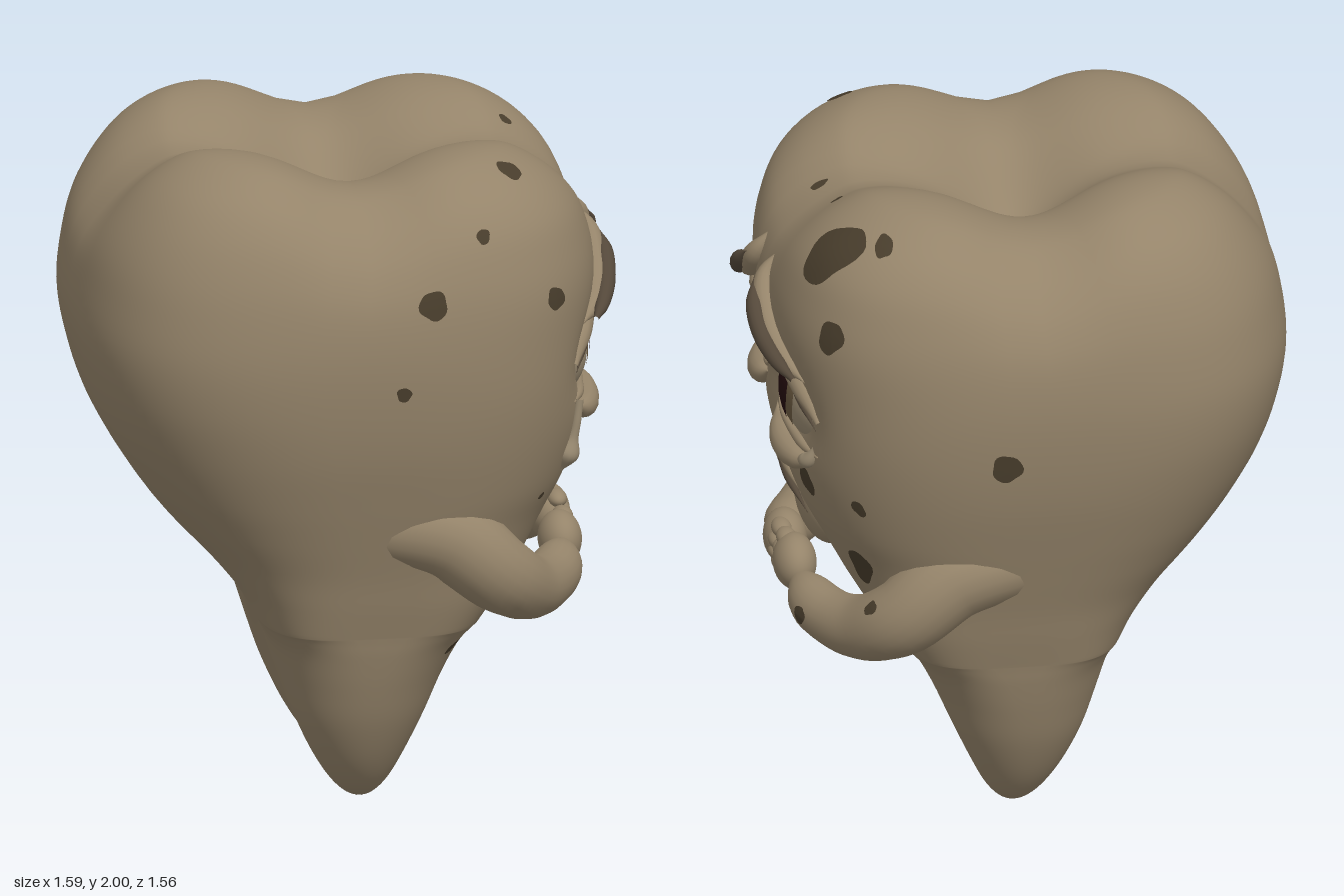
import * as THREE from 'three';
import { mergeVertices, mergeGeometries } from 'three/addons/utils/BufferGeometryUtils.js';

const mat = (name, color) => Object.assign(new THREE.MeshStandardMaterial({ color }), { name });

// Catmull-Rom sampling of a table of rows, t from 0 to 1
function sample(rows, t) {
  const f = t * (rows.length - 1), i = Math.min(Math.floor(f), rows.length - 2), u = f - i;
  const at = k => rows[Math.max(0, Math.min(rows.length - 1, k))];
  const [a, b, c, d] = [at(i - 1), at(i), at(i + 1), at(i + 2)];
  return b.map((p, k) => p + 0.5 * u * (c[k] - a[k] + u * (2 * a[k] - 5 * p + 4 * c[k] - d[k] + u * (3 * (p - c[k]) + d[k] - a[k]))));
}

// Weld a geometry and give it smooth normals
function smooth(g) {
  g.deleteAttribute('uv');
  g.deleteAttribute('normal');
  g = mergeVertices(g, 1e-4);
  g.computeVertexNormals();
  return g;
}

// Skin between closed rings of points
function loft(rings, flip) {
  const n = rings[0].length, idx = [];
  for (let j = 0; j < rings.length - 1; j++) for (let i = 0; i < n; i++) {
    const a = j * n + i, b = j * n + (i + 1) % n, c = a + n, d = b + n;
    if (flip) idx.push(a, b, c, b, d, c); else idx.push(a, c, b, b, c, d);
  }
  const g = new THREE.BufferGeometry();
  g.setAttribute('position', new THREE.Float32BufferAttribute(rings.flat(2), 3));
  g.setIndex(idx);
  return g;
}

// Tube whose radius follows a list of values along its length
function taperTube(points, radii, segs = 32, sides = 14) {
  const curve = new THREE.CatmullRomCurve3(points);
  const g = new THREE.TubeGeometry(curve, segs, 1, sides, false), p = g.attributes.position;
  const v = new THREE.Vector3();
  for (let i = 0; i < p.count; i++) {
    const t = Math.floor(i / (sides + 1)) / segs, c = curve.getPointAt(t);
    const r = Math.max(0, sample(radii.map(q => [q]), t)[0]);
    v.fromBufferAttribute(p, i).sub(c).multiplyScalar(r).add(c);
    p.setXYZ(i, v.x, v.y, v.z);
  }
  return smooth(g);
}

function ellipsoid(x, y, z, rx, ry, rz, turn = 0) {
  return new THREE.SphereGeometry(1, 32, 24).scale(rx, ry, rz).rotateY(turn).translate(x, y, z);
}

// Crown rows: y, back x, front x, half depth, squareness
const CROWN = [
  [0.57, -0.305, 0.38, 0.585, 3.8], [0.66, -0.36, 0.45, 0.61, 3.4], [0.76, -0.445, 0.52, 0.635, 3],
  [0.88, -0.555, 0.585, 0.67, 2.85], [1.0, -0.64, 0.645, 0.705, 2.9], [1.15, -0.725, 0.69, 0.745, 2.9],
  [1.3, -0.775, 0.705, 0.77, 3], [1.45, -0.8, 0.715, 0.78, 3], [1.6, -0.785, 0.725, 0.77, 3],
  [1.72, -0.755, 0.71, 0.745, 3], [1.83, -0.695, 0.67, 0.7, 3.1], [1.92, -0.62, 0.595, 0.63, 3.2],
  [1.985, -0.53, 0.5, 0.53, 3.2], [2.008, -0.45, 0.42, 0.43, 3.1], [2.008, -0.3, 0.27, 0.29, 2.6],
  [2.008, -0.15, 0.11, 0.14, 2.2], [2.008, -0.02, -0.02, 0, 2.2]];
// Root rows: y, back x, front x, inner z, middle z, outer z, squareness
const ROOT = [
  [0.57, -0.305, 0.38, 0, 0, 0.585, 3.8], [0.55, -0.294, 0.364, 0.055, 0.065, 0.581, 3.3], [0.5, -0.268, 0.322, 0.095, 0.15, 0.571, 2.75],
  [0.4, -0.23, 0.262, 0.118, 0.24, 0.545, 2.35], [0.28, -0.185, 0.205, 0.13, 0.29, 0.505, 2.15], [0.16, -0.13, 0.15, 0.145, 0.29, 0.445, 2],
  [0.07, -0.075, 0.105, 0.17, 0.27, 0.378, 2], [0.018, -0.025, 0.062, 0.21, 0.26, 0.312, 2], [0, 0.02, 0.02, 0.258, 0.258, 0.258, 2]];

const N = 96;
const power = (v, n) => Math.sign(v) * Math.pow(Math.abs(v) < 1e-9 ? 0 : Math.abs(v), 2 / n);
const bell = (d, w) => Math.exp(-(d / w) * (d / w));

// Crown splitting into two roots, with cusps and eye sockets pressed in
function bodyGeometry() {
  const angles = Array.from({ length: N }, (_, i) => (i / N) * Math.PI * 2);
  const crown = Array.from({ length: 81 }, (_, j) => {
    const [y, xl, xr, zo, n] = sample(CROWN, j / 80);
    return angles.map(a => [(xl + xr) / 2 + power(Math.cos(a), n) * (xr - xl) / 2, y, power(Math.sin(a), n) * zo]);
  });
  const root = s => Array.from({ length: 41 }, (_, j) => {
    const [y, xl, xr, zi, zm, zo, n] = sample(ROOT, j / 40);
    return angles.map(a => {
      const k = power(Math.sin(a), n);
      return [(xl + xr) / 2 + power(Math.cos(a), n) * (xr - xl) / 2, y, s * (zm + k * (k > 0 ? zo - zm : zm - zi))];
    });
  });
  const g = mergeVertices(mergeGeometries([loft(crown, false), loft(root(1), true), loft(root(-1), false)]), 1e-4);
  const p = g.attributes.position, step = THREE.MathUtils.smoothstep;
  for (let i = 0; i < p.count; i++) {
    let x = p.getX(i), y = p.getY(i);
    const z = p.getZ(i), bx = bell(x + 0.02, 0.2), bz = bell(z, 0.19);
    if (x > 0.3) x -= 0.065 * bell(y - 1.35, 0.11) * bell(Math.abs(z) - 0.28, 0.18);
    y -= step(y, 1.45, 1.97) * (0.1 * (bx + bz) + 0.1 * bx * bz + 0.012 * step(x, -0.3, 0.3));
    y += 0.13 * Math.min(1, (x / 0.3) ** 2) * bell(z, 0.2) * bell(y - 0.57, 0.25);
    p.setXYZ(i, x, y, z);
  }
  g.computeVertexNormals();
  return g;
}

// Thin patch laid on target meshes, seen along dir; shape(a) gives [u, v]
function patch(targets, center, dir, shape, lift = 0.004) {
  const ref = Math.abs(dir.y) > 0.9 ? new THREE.Vector3(0, 0, 1) : new THREE.Vector3(0, 1, 0);
  const u = ref.clone().cross(dir).normalize(), v = dir.clone().cross(u), ray = new THREE.Raycaster();
  const rings = [], segs = 28;
  let last = null;
  for (const k of [0, 0.35, 0.7, 1]) rings.push(Array.from({ length: segs }, (_, i) => {
    const [a, b] = shape((i / segs) * Math.PI * 2);
    const o = center.clone().addScaledVector(u, a * k).addScaledVector(v, b * k).addScaledVector(dir, 3);
    ray.set(o, dir.clone().negate());
    const hit = ray.intersectObjects(targets, false)[0];
    if (hit) last = hit.point.clone().addScaledVector(hit.face.normal, lift);
    return (last || center).toArray();
  }));
  return smooth(loft(rings, false));
}

export function createModel() {
  const model = new THREE.Group();
  model.name = 'sadTooth';
  const enamel = mat('enamel', 0x95846a), eyeTan = mat('eyeTan', 0x9a8b72), browBrown = mat('browBrown', 0x54483a);
  const decay = mat('decay', 0x483d2c), irisBrown = mat('irisBrown', 0x6a5940), pupilRed = mat('pupilRed', 0x240c0e);
  const add = (name, geo, m) => {
    const mesh = new THREE.Mesh(geo, m);
    mesh.name = name;
    model.add(mesh);
    return mesh;
  };
  const X = new THREE.Vector3(1, 0, 0), Y = new THREE.Vector3(0, 1, 0), Z = new THREE.Vector3(0, 0, 1);
  const body = add('body', bodyGeometry(), enamel), solid = [body];
  // Point on the face at (z, y), raised by off
  const onFace = (targets, z, y, off) => {
    const hit = new THREE.Raycaster(new THREE.Vector3(3, y, z), X.clone().negate()).intersectObjects(targets, false)[0];
    return new THREE.Vector3((hit ? hit.point.x : 0.6) + off, y, z);
  };
  const faceTube = (name, targets, s, pts, radii, m) =>
    add(name, taperTube(pts.map(([z, y, off]) => onFace(targets, s * z, y, off)), radii), m);

  for (const s of [1, -1]) {
    const side = s > 0 ? 'Left' : 'Right', lift = s > 0 ? 0 : 0.02;
    // Arm and clasped hand
    const path = [[-0.16, 0.92, 0.53], [0.03, 0.91, 0.562], [0.23, 0.875, 0.585], [0.38, 0.755, 0.583], [0.49, 0.675, 0.47],
      [0.585, 0.665, 0.32], [0.63, 0.7, 0.19], [0.645, 0.715, 0.11]];
    solid.push(add('arm' + side, taperTube(path.map(([x, y, z]) => new THREE.Vector3(x, y, s * z)),
      [0, 0.09, 0.12, 0.125, 0.115, 0.1, 0.085, 0.07, 0], 48, 20), enamel));
    add('hand' + side, ellipsoid(0.64, 0.71 + lift, s * 0.108, 0.064, 0.082, 0.098), enamel);
    for (let i = 0; i < 4; i++)
      add('finger' + side, ellipsoid(0.672 - Math.abs(i - 1.5) * 0.01, 0.655 + i * 0.036 + lift, s * 0.055, 0.03, 0.026, 0.052), enamel);

    // Eye with iris and pupil
    const eye = add('eyeball' + side, ellipsoid(0.58, 1.345, s * 0.28, 0.112, 0.14, 0.21, -s * 0.15), eyeTan);
    const disc = (ry, rz) => a => [Math.cos(a) * rz, Math.sin(a) * ry];
    const gaze = new THREE.Vector3(0, 1.355, s * 0.238);
    add('iris' + side, patch([eye], gaze, X, disc(0.115, 0.118), 0.004), irisBrown);
    add('pupil' + side, patch([eye], gaze, X, disc(0.09, 0.08), 0.008), pupilRed);

    // Lids, lash line and bag under the eye
    const both = [body, eye];
    faceTube('upperLid' + side, both, s, [[0.5, 1.35, 0], [0.41, 1.42, 0], [0.28, 1.468, 0], [0.17, 1.49, 0], [0.1, 1.45, -0.01]], [0.01, 0.034, 0.034, 0.03, 0], enamel);
    faceTube('lashLine' + side, both, s, [[0.49, 1.32, 0.005], [0.41, 1.385, 0.012], [0.28, 1.438, 0.016], [0.17, 1.462, 0.012], [0.11, 1.43, 0.002]], [0, 0.013, 0.011, 0.009, 0], browBrown);
    faceTube('lowerLid' + side, both, s, [[0.49, 1.235, 0], [0.38, 1.235, 0], [0.25, 1.235, 0], [0.13, 1.26, 0], [0.1, 1.3, 0]], [0.004, 0.015, 0.015, 0.013, 0], enamel);
    faceTube('eyeBag' + side, [body], s, [[0.47, 1.22, 0], [0.38, 1.19, 0.01], [0.26, 1.19, 0.012], [0.15, 1.22, 0.005], [0.1, 1.25, 0]], [0, 0.033, 0.042, 0.033, 0], enamel);

    // Brow and the skin fold around it
    faceTube('brow' + side, [body], s, [[0.46, 1.478, 0.035], [0.36, 1.497, 0.042], [0.24, 1.537, 0.044], [0.15, 1.597, 0.042], [0.085, 1.65, 0.04]], [0.008, 0.02, 0.026, 0.029, 0.025, 0], browBrown);
    faceTube('browFold' + side, [body], s, [[0.45, 1.46, 0], [0.3, 1.505, 0.015], [0.17, 1.575, 0.01], [0.09, 1.65, 0.008], [0.075, 1.73, -0.012]], [0, 0.03, 0.035, 0.036, 0.03, 0], enamel);
    add('rootTip' + side, patch([body], new THREE.Vector3(0.02, 0, s * 0.258), Y.clone().negate(), disc(0.035, 0.035), 0.001), decay);
  }

  // Frowning mouth and chin
  const arc = (w, y, drop, off) => [-1, -0.6, 0, 0.6, 1].map(k => [k * w, y - drop * k * k, off]);
  faceTube('upperLip', [body], 1, arc(0.23, 1.075, 0.095, -0.004), [0, 0.02, 0.026, 0.02, 0], enamel);
  faceTube('upperMouthLine', [body], 1, arc(0.25, 1.05, 0.105, 0.012), [0, 0.015, 0.009, 0.015, 0], browBrown);
  faceTube('teeth', [body], 1, arc(0.19, 1.036, 0.06, 0.014), [0, 0.01, 0.012, 0.01, 0], eyeTan);
  faceTube('lowerMouthLine', [body], 1, arc(0.21, 1.02, 0.075, 0.012), [0, 0.011, 0.009, 0.011, 0], browBrown);
  faceTube('lowerLip', [body], 1, arc(0.16, 0.992, 0.06, -0.002), [0, 0.02, 0.028, 0.02, 0], enamel);
  add('chin', ellipsoid(0.53, 0.905, 0, 0.095, 0.14, 0.23), enamel);

  // Tears
  faceTube('tearDrop', [body], 1, [[0.47, 1.24, 0.012], [0.468, 1.15, 0.008], [0.46, 1.08, 0.006], [0.455, 1.015, 0.004]], [0.012, 0.013, 0.016, 0.033, 0], eyeTan);
  faceTube('tearPool', [body], -1, [[0.48, 1.27, 0.01], [0.45, 1.215, 0.012], [0.38, 1.2, 0.015]], [0, 0.024, 0], eyeTan);

  // Decay spots: view direction, then two coordinates, radius, stretch and tilt
  const wobble = (r, k, tilt, seed) => a => {
    const q = r * (1 + 0.07 * Math.sin(3 * a + seed) + 0.04 * Math.sin(5 * a + 2 * seed));
    const e = Math.cos(a) * q, f = Math.sin(a) * q * k;
    return [e * Math.cos(tilt) - f * Math.sin(tilt), e * Math.sin(tilt) + f * Math.cos(tilt)];
  };
  const spots = [
    ['x', -0.43, 1.86, 0.08], ['x', -0.57, 1.66, 0.036, 1.4], ['x', 0.635, 1.6, 0.024, 1.4], ['x', 0.055, 1.86, 0.015],
    ['x', -0.4, 1.125, 0.042], ['x', -0.6, 1.12, 0.016, 1.6], ['x', -0.485, 0.88, 0.035, 2, -0.5], ['x', -0.355, 0.67, 0.026],
    ['x', -0.615, 0.8, 0.02], ['x', 0.49, 0.51, 0.014, 1.5], ['x', 0.53, 0.97, 0.01],
    ['z', 0.16, 1.63, 0.042], ['z', 0.32, 1.81, 0.02], ['z', 0.07, 1.37, 0.022], ['back', 0.1, 1.3, 0.045],
    ['y', 0.43, 0.47, 0.036], ['y', 0.43, -0.52, 0.026, 1.4], ['y', 0.52, -0.16, 0.018]];
  spots.forEach(([d, a, b, r, k = 1, tilt = 0], i) => {
    const dir = { x: X, y: Y, z: Z, back: Z.clone().negate() }[d];
    const c = d === 'x' ? [0, b, a] : d === 'y' ? [a, 0, b] : [a, b, 0];
    add('decaySpot', patch(solid, new THREE.Vector3(...c), dir, wobble(r, k, tilt, i)), decay);
  });
  return model;
}
